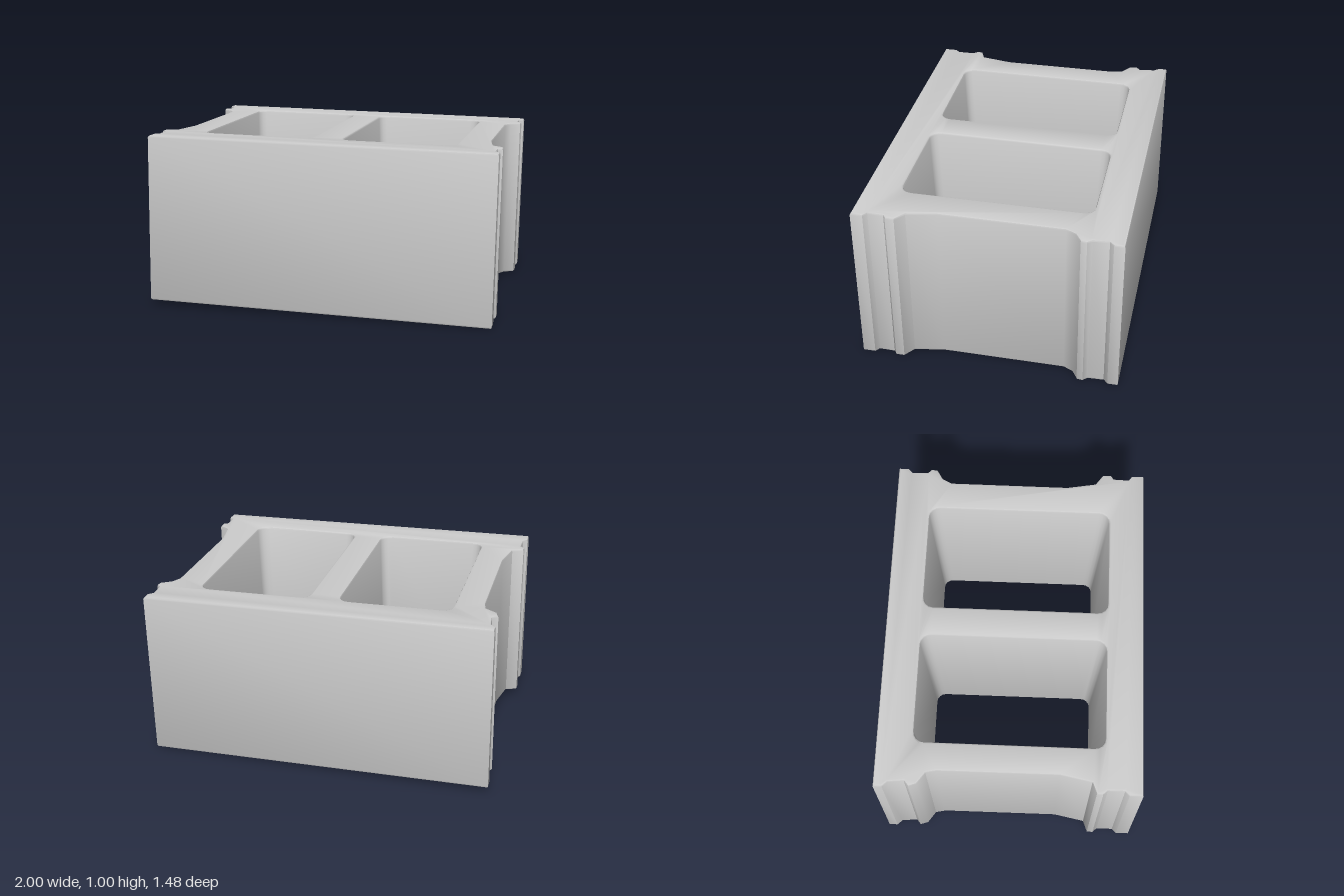
import * as THREE from 'three';
import { toCreasedNormals } from 'three/addons/utils/BufferGeometryUtils.js';

const HEIGHT = 0.968, BEVEL = 0.012, TILT = 0.0155;

// Hollow cores as [x0, x1, z0, z1], wide at the top and narrower at the bottom
const cores = [
  { top: [-0.73, -0.09, -0.54, 0.53], bottom: [-0.69, -0.123, -0.497, 0.483] },
  { top: [0.085, 0.73, -0.54, 0.535], bottom: [0.135, 0.69, -0.497, 0.483] },
];

// End profiles as [x, z], from back to front: grooved flanges and a recessed middle
const leftEnd = [
  [0.992, -0.744], [0.992, -0.685], [0.965, -0.66], [0.968, -0.57], [0.992, -0.545],
  [0.987, -0.51], [0.93, -0.475], [0.902, -0.42], [0.9, 0.28], [0.93, 0.45],
  [0.992, 0.495], [0.992, 0.545], [0.968, 0.56], [0.965, 0.65], [0.992, 0.67], [0.992, 0.74],
];
const rightEnd = [
  [-0.992, -0.744], [-0.992, -0.695], [-0.965, -0.665], [-0.955, -0.575], [-0.985, -0.55],
  [-0.97, -0.505], [-0.905, -0.46], [-0.892, -0.4], [-0.89, 0.28], [-0.925, 0.46],
  [-0.99, 0.485], [-0.992, 0.52], [-0.968, 0.545], [-0.968, 0.64], [-0.992, 0.665], [-0.992, 0.74],
];

// Rounded rectangle, wound against the outline so that its walls face into the core
function roundedHole([x0, x1, z0, z1], r) {
  const corners = [[x1 - r, z0 + r, 0], [x0 + r, z0 + r, 1], [x0 + r, z1 - r, 2], [x1 - r, z1 - r, 3]];
  const points = [];
  for (const [cx, cz, quarter] of corners) {
    for (let i = 0; i <= 4; i++) {
      const a = (quarter + i / 4) * Math.PI / 2;
      points.push(new THREE.Vector2(cx + r * Math.cos(a), -cz + r * Math.sin(a)));
    }
  }
  return new THREE.Path(points);
}

export function createModel() {
  const group = new THREE.Group();
  group.name = 'hollowBlock';

  const outline = [...leftEnd, ...rightEnd.slice().reverse()];
  const shape = new THREE.Shape(outline.map(([x, z]) => new THREE.Vector2(x, -z)));
  for (const core of cores) shape.holes.push(roundedHole(core.top, 0.06));

  const geometry = new THREE.ExtrudeGeometry(shape, {
    depth: HEIGHT - 2 * BEVEL, steps: 1,
    bevelEnabled: true, bevelThickness: BEVEL, bevelSize: BEVEL, bevelOffset: -BEVEL, bevelSegments: 2,
  });
  geometry.rotateX(-Math.PI / 2).translate(0, BEVEL, 0);

  // Taper the cores towards the bottom
  const pos = geometry.attributes.position;
  const margin = BEVEL * 1.5;
  for (let i = 0; i < pos.count; i++) {
    const x = pos.getX(i), z = pos.getZ(i), t = 1 - pos.getY(i) / HEIGHT;
    for (const { top: a, bottom: b } of cores) {
      if (x < a[0] - margin || x > a[1] + margin || z < a[2] - margin || z > a[3] + margin) continue;
      const { lerp, mapLinear } = THREE.MathUtils;
      pos.setX(i, lerp(x, mapLinear(x, a[0], a[1], b[0], b[1]), t));
      pos.setZ(i, lerp(z, mapLinear(z, a[2], a[3], b[2], b[3]), t));
    }
  }

  // Slight lean of the whole block
  geometry.translate(0, -HEIGHT / 2, 0).rotateZ(-TILT);
  geometry.computeBoundingBox();
  geometry.translate(0, -geometry.boundingBox.min.y, 0);

  const block = new THREE.Mesh(
    toCreasedNormals(geometry, 0.75),
    new THREE.MeshStandardMaterial({ color: 0xcccccc }),
  );
  block.name = 'blockBody';
  group.add(block);
  return group;
}
